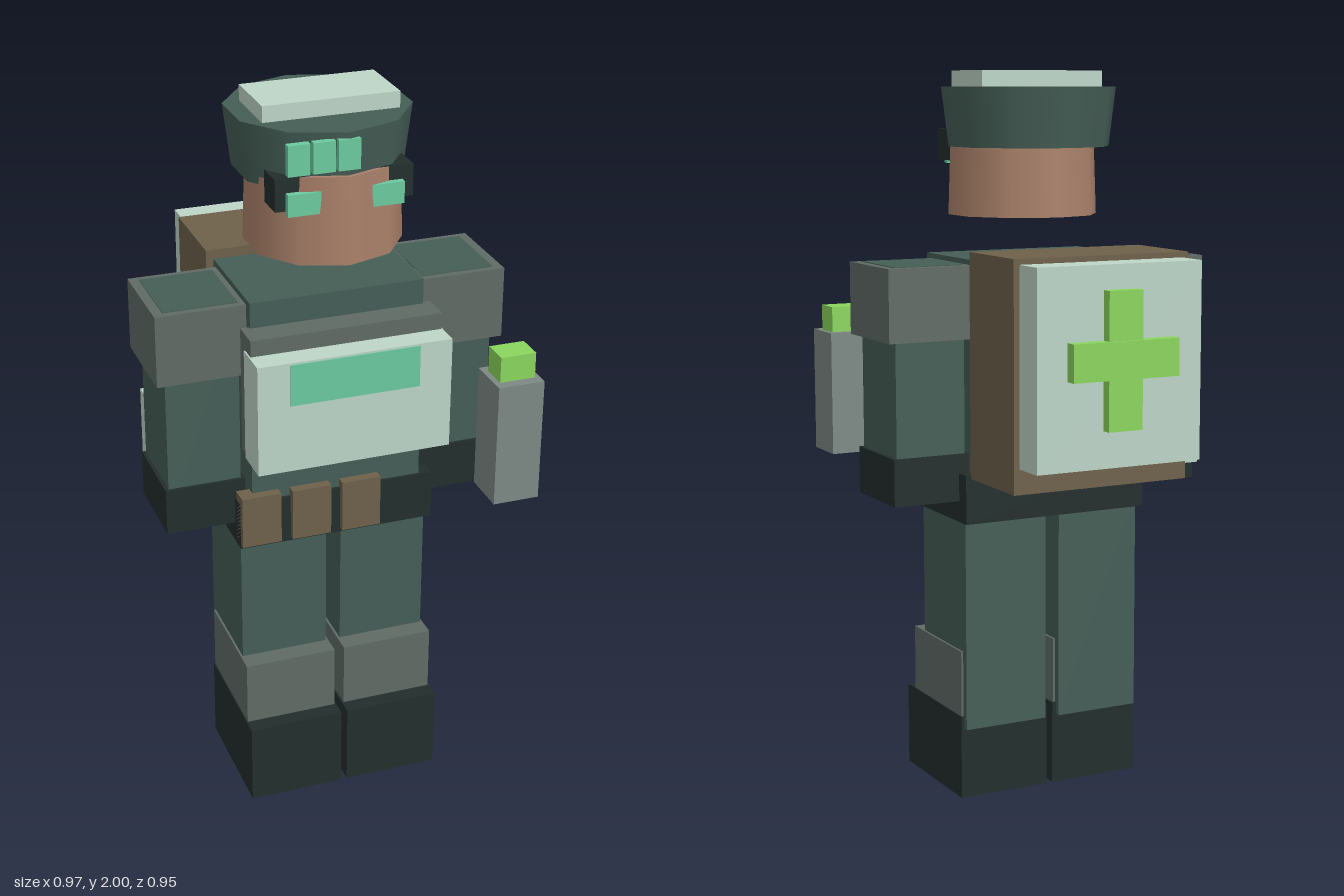
import * as THREE from 'three';

const mat = (color) => new THREE.MeshStandardMaterial({ color });

export function createModel() {
  const model = new THREE.Group();
  model.name = 'fieldMedic';
  const cloth = mat(0x455e56), dark = mat(0x222e2c), armour = mat(0x606b65), pale = mat(0xbdd5c8);
  const teal = mat(0x6bcaa0), leather = mat(0x6e614b), skin = mat(0xa98069), lime = mat(0x8bd65e), steel = mat(0x7d8985);

  // Box given by its extents on each axis
  const box = (name, material, [x0, x1], [y0, y1], [z0, z1]) => {
    const mesh = new THREE.Mesh(new THREE.BoxGeometry(x1 - x0, y1 - y0, z1 - z0), material);
    mesh.position.set((x0 + x1) / 2, (y0 + y1) / 2, (z0 + z1) / 2);
    mesh.name = name;
    model.add(mesh);
  };
  // Ten-sided tapered drum with a corner facing forward
  const drum = (name, material, rTop, rBottom, [y0, y1], z) => {
    const mesh = new THREE.Mesh(new THREE.CylinderGeometry(rTop, rBottom, y1 - y0, 10), material);
    mesh.position.set(CX, (y0 + y1) / 2, z);
    mesh.name = name;
    model.add(mesh);
  };
  const CX = -0.004;
  // Mirrored pair about the body's centre line
  const pair = (name, material, [x0, x1], y, z) => {
    box('left' + name, material, [CX + x0, CX + x1], y, z);
    box('right' + name, material, [CX - x1, CX - x0], y, z);
  };

  // Legs and feet
  pair('Leg', cloth, [0.021, 0.267], [0.2, 0.82], [-0.065, 0.21]);
  pair('ShinGuard', armour, [0.014, 0.273], [0.2, 0.42], [-0.045, 0.265]);
  pair('Boot', dark, [0.009, 0.276], [0, 0.235], [-0.05, 0.31]);

  // Torso and belt
  box('torso', cloth, [-0.243, 0.236], [0.82, 1.5], [-0.082, 0.23]);
  box('belt', dark, [-0.28, 0.272], [0.787, 0.922], [-0.09, 0.24]);
  for (let i = 0; i < 3; i++) {
    const x = -0.28 + i * 0.142;
    box('beltPouch', leather, [x, x + 0.11], [0.8, 0.947], [0.205, 0.258]);
  }
  box('hipBag', pale, [-0.455, -0.242], [0.9, 1.14], [-0.1, 0.0]);

  // Chest armour
  box('chestPlate', armour, [-0.266, 0.259], [1.08, 1.43], [0.22, 0.304]);
  box('chestPack', pale, [-0.27, 0.262], [1.076, 1.385], [0.26, 0.371]);
  box('chestPanel', teal, [-0.182, 0.172], [1.265, 1.38], [0.36, 0.374]);

  // Arms
  pair('Arm', cloth, [0.256, 0.457], [0.86, 1.488], [-0.04, 0.184]);
  pair('ShoulderPad', armour, [0.24, 0.483], [1.288, 1.486], [-0.06, 0.204]);
  pair('Glove', dark, [0.246, 0.467], [0.845, 0.975], [-0.046, 0.194]);

  // Handheld canister
  box('canister', steel, [0.353, 0.482], [0.93, 1.274], [0.342, 0.473]);
  box('canisterCap', lime, [0.369, 0.468], [1.27, 1.345], [0.366, 0.443]);

  // Backpack with cross
  box('backpack', leather, [-0.263, 0.256], [0.912, 1.525], [-0.344, -0.085]);
  box('backpackFlap', pale, [-0.247, 0.24], [0.98, 1.51], [-0.44, -0.34]);
  box('crossUpright', lime, [-0.054, 0.046], [1.08, 1.445], [-0.469, -0.435]);
  box('crossBar', lime, [-0.16, 0.152], [1.215, 1.315], [-0.475, -0.435]);

  // Head and face
  drum('head', skin, 0.2, 0.208, [1.608, 1.84], 0.112);
  box('glasses', dark, [-0.187, 0.181], [1.755, 1.84], [0.19, 0.273]);
  pair('Eye', teal, [0.068, 0.155], [1.745, 1.803], [0.27, 0.292]);

  // Cap
  drum('cap', cloth, 0.243, 0.223, [1.795, 1.957], 0.072);
  box('capTop', pale, [-0.187, 0.18], [1.95, 2], [-0.01, 0.178]);
  for (let i = 0; i < 3; i++) {
    const x = -0.167 + i * 0.066;
    box('capLens', teal, [x, x + 0.058], [1.86, 1.94], [0.296, 0.317]);
  }
  return model;
}
